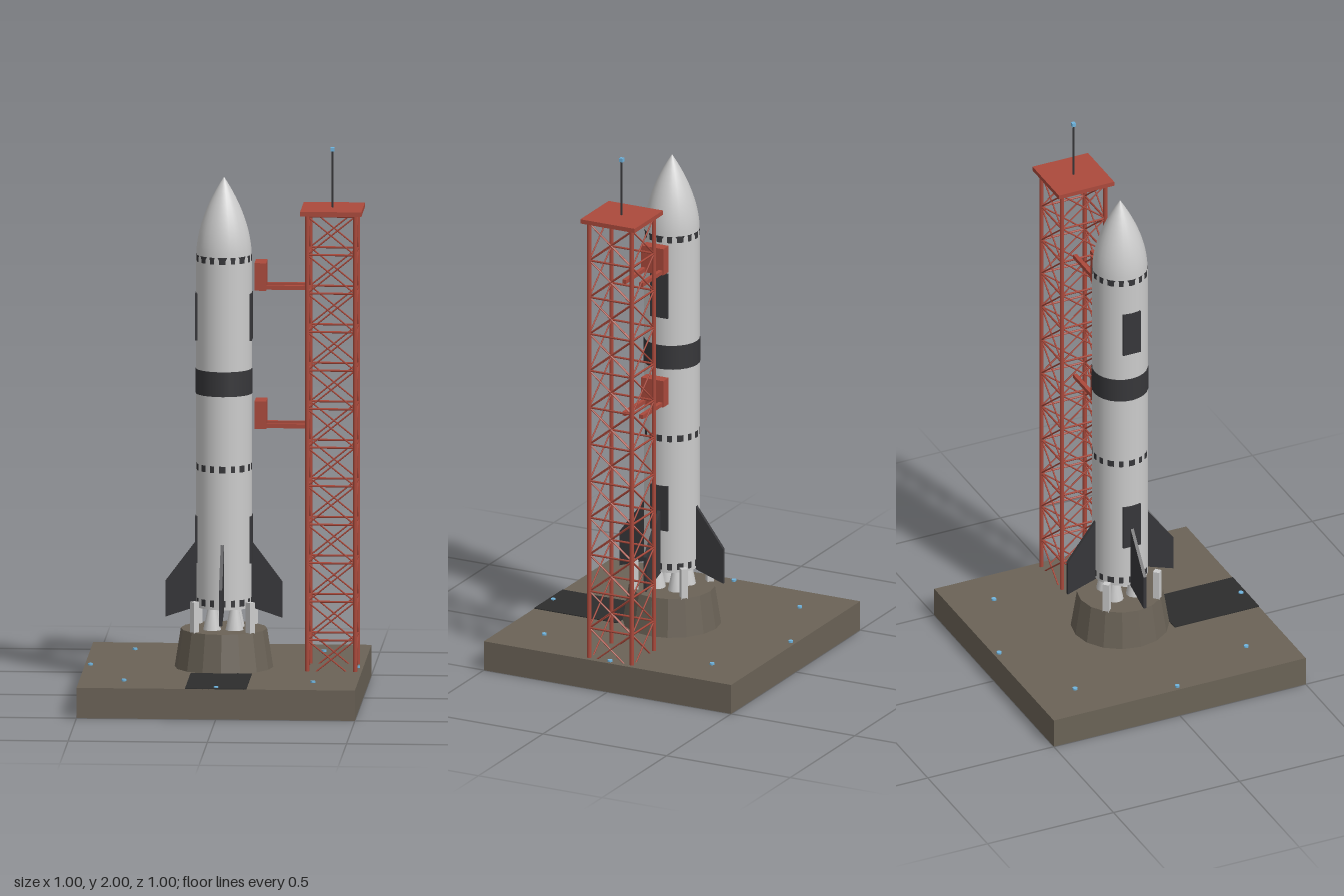
import * as THREE from 'three';

const mat = (color, flatShading = false, side = THREE.FrontSide) =>
  new THREE.MeshStandardMaterial({ color, flatShading, side });
const GREY = mat(0xcccccc), NOZZLE = mat(0xcccccc, false, THREE.DoubleSide);
const CONCRETE = mat(0x6b6357, true), DARK = mat(0x37373a), TRENCH = mat(0x2d2d2d);
const RED = mat(0xab4a3c), BLUE = mat(0x6fb4de);

function add(parent, name, geometry, material, x = 0, y = 0, z = 0) {
  const mesh = new THREE.Mesh(geometry, material);
  mesh.name = name;
  mesh.position.set(x, y, z);
  parent.add(mesh);
  return mesh;
}
const box = (w, h, d) => new THREE.BoxGeometry(w, h, d);
const cyl = (rTop, rBottom, h, n, open = false) => new THREE.CylinderGeometry(rTop, rBottom, h, n, 1, open);

// Thin round bar between two points
function bar(parent, name, a, b, r, material, sides = 5) {
  const dir = b.clone().sub(a);
  const mesh = add(parent, name, cyl(r, r, dir.length(), sides), material);
  mesh.position.copy(a).add(b).multiplyScalar(0.5);
  mesh.quaternion.setFromUnitVectors(new THREE.Vector3(0, 1, 0), dir.normalize());
}

function launchPad() {
  const g = new THREE.Group();
  g.name = 'launchPad';
  add(g, 'padSlab', box(1, 0.11, 1), CONCRETE, 0, 0.055, 0);
  add(g, 'flameTrench', box(0.22, 0.006, 0.335), TRENCH, 0, 0.11, 0.3325);
  add(g, 'launchMount', cyl(0.155, 0.177, 0.14, 16), CONCRETE, 0, 0.18, 0);
  for (let i = 0; i < 8; i++) {
    const a = (i * Math.PI) / 4;
    add(g, 'padLight', cyl(0.009, 0.009, 0.008, 8), BLUE, 0.48 * Math.cos(a), 0.113, 0.48 * Math.sin(a));
  }
  // Hold-down posts around the rocket
  for (const x of [-0.1, 0.1]) for (const z of [-0.1, 0.1]) {
    add(g, 'holdDownPost', box(0.024, 0.12, 0.024), GREY, x, 0.3, z).rotation.y = Math.PI / 4;
  }
  return g;
}

function rocket() {
  const g = new THREE.Group();
  g.name = 'rocket';
  add(g, 'body', cyl(0.1, 0.1, 1.27, 24), GREY, 0, 0.965, 0);

  // Rounded nose
  const nose = [];
  for (let i = 0; i <= 12; i++) {
    const t = i / 12;
    nose.push(new THREE.Vector2(0.1 * (1 - t ** 1.9), 1.6 + 0.29 * t));
  }
  add(g, 'noseCone', new THREE.LatheGeometry(nose, 24), GREY);

  // Wide band, and thin joint bands that only just break the skin
  add(g, 'interstageBand', cyl(0.102, 0.102, 0.09, 24), DARK, 0, 1.15, 0);
  for (const y of [0.352, 0.84, 1.598]) add(g, 'jointBand', cyl(0.1008, 0.1008, 0.024, 16), DARK, 0, y, 0);

  // Side panels
  for (const x of [-0.092, 0.092]) for (const y of [0.575, 1.385])
    add(g, 'sidePanel', box(0.02, 0.17, 0.07), DARK, x, y, 0);

  // Four swept fins
  const outline = new THREE.Shape([[0.09, 0.58], [0.21, 0.42], [0.21, 0.29], [0.09, 0.33]]
    .map(([x, y]) => new THREE.Vector2(x, y)));
  const finGeometry = new THREE.ExtrudeGeometry(outline, { depth: 0.012, bevelEnabled: false });
  finGeometry.translate(0, 0, -0.006);
  for (let i = 0; i < 4; i++) add(g, 'fin', finGeometry, DARK).rotation.y = (i * Math.PI) / 2;

  // Engine nozzles
  for (const x of [-0.04, 0.04]) for (const z of [-0.04, 0.04])
    add(g, 'engineNozzle', cyl(0.015, 0.032, 0.085, 12, true), NOZZLE, x, 0.2925, z);
  return g;
}

function serviceTower() {
  const g = new THREE.Group();
  g.name = 'serviceTower';
  const cx = 0.39, half = 0.086, base = 0.083, step = 0.14, bays = 12;
  const corners = [[-1, -1], [1, -1], [1, 1], [-1, 1]];
  const at = (i, y) => new THREE.Vector3(cx + corners[i % 4][0] * half, y, corners[i % 4][1] * half);

  for (let i = 0; i < 4; i++) {
    bar(g, 'towerPost', at(i, 0.1), at(i, 1.77), 0.008, RED, 8);
    for (let k = 0; k < bays; k++) {
      const low = base + k * step, high = low + step;
      bar(g, 'towerRung', at(i, high), at(i + 1, high), 0.004, RED);
      bar(g, 'towerBrace', at(i, low), at(i + 1, high), 0.003, RED);
      bar(g, 'towerBrace', at(i + 1, low), at(i, high), 0.003, RED);
    }
  }
  add(g, 'towerRoof', box(0.22, 0.016, 0.22), RED, cx, 1.775, 0);
  add(g, 'antenna', cyl(0.004, 0.004, 0.21, 6), DARK, cx, 1.885, 0);
  add(g, 'antennaLight', box(0.014, 0.014, 0.014), BLUE, cx, 1.993, 0);

  // Swing arms reaching to the rocket
  for (const y of [0.992, 1.495]) {
    const arm = new THREE.Group();
    arm.name = 'swingArm';
    arm.position.y = y;
    for (const z of [-0.034, 0.034]) add(arm, 'armBeam', box(0.16, 0.015, 0.015), RED, 0.225, 0, z);
    add(arm, 'armHead', box(0.042, 0.1, 0.09), RED, 0.133, 0.039, 0);
    g.add(arm);
  }
  return g;
}

export function createModel() {
  const model = new THREE.Group();
  model.name = 'rocketOnLaunchPad';
  model.add(launchPad(), rocket(), serviceTower());
  return model;
}
